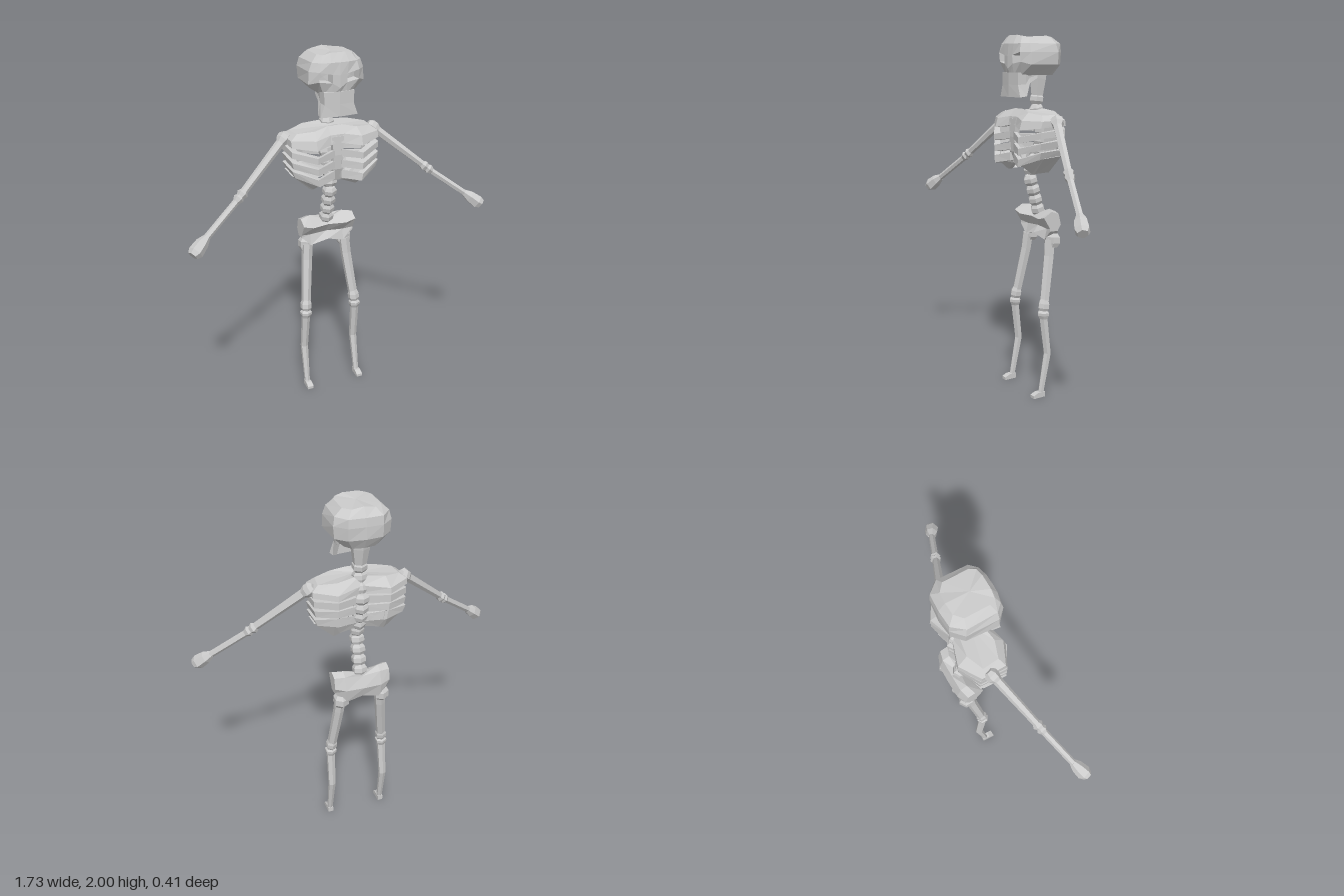
import * as THREE from 'three';

const material = new THREE.MeshStandardMaterial({ color: 0xcccccc, flatShading: true, side: THREE.DoubleSide });

// Skins a row of equal-length closed rings; faces are turned outward by signed volume.
function loft(name, rings, { capStart = true, capEnd = true, skip = () => false } = {}) {
  const tris = [], n = rings[0].length;
  for (let i = 0; i < rings.length - 1; i++) {
    for (let j = 0; j < n; j++) {
      if (skip(i, j)) continue;
      const k = (j + 1) % n, a = rings[i][j], b = rings[i][k], c = rings[i + 1][k], d = rings[i + 1][j];
      tris.push([a, b, c], [a, c, d]);
    }
  }
  const cap = (ring, flip) => {
    const mid = [0, 1, 2].map(k => ring.reduce((s, p) => s + p[k], 0) / n);
    ring.forEach((p, j) => {
      const q = ring[(j + 1) % n];
      tris.push(flip ? [mid, q, p] : [mid, p, q]);
    });
  };
  if (capStart) cap(rings[0], true);
  if (capEnd) cap(rings[rings.length - 1], false);
  const v = p => new THREE.Vector3(p[0], p[1] - 1, p[2]);
  const volume = tris.reduce((s, [a, b, c]) => s + v(a).dot(v(b).cross(v(c))), 0);
  if (volume < 0) tris.forEach(t => t.reverse());
  const geo = new THREE.BufferGeometry();
  geo.setAttribute('position', new THREE.Float32BufferAttribute(tris.flat(2), 3));
  geo.computeVertexNormals();
  const mesh = new THREE.Mesh(geo, material);
  mesh.name = name;
  return mesh;
}

// Completes a left half outline (front centre to back centre) across x = 0.
const mirrorRing = half => [...half, ...half.slice(1, -1).reverse().map(([x, y, z]) => [-x, y, z])];
const mirrorSections = list => [...list.map(r => r.map(([x, y, z]) => [-x, y, z])), ...list.slice(0, -1).reverse()];

// Faceted bone through points [x, y, z, radius].
function bone(name, side, points, sides = 6) {
  const at = p => new THREE.Vector3(p[0] * side, p[1], p[2]);
  const dir = at(points[points.length - 1]).sub(at(points[0])).normalize();
  const u = new THREE.Vector3(0, 0, 1).cross(dir).normalize(), w = dir.clone().cross(u);
  return loft(name, points.map(p => Array.from({ length: sides }, (_, j) => {
    const t = (j + 0.5) / sides * Math.PI * 2;
    return at(p).addScaledVector(u, Math.cos(t) * p[3]).addScaledVector(w, Math.sin(t) * p[3]).toArray();
  })));
}

function skull() {
  const g = new THREE.Group();
  g.name = 'skull';
  const level = (y, pts) => mirrorRing(pts.map(([x, z, dy = 0]) => [x, y + dy, z]));
  const rings = [
    level(1.79, [[0, .07], [.04, .07], [.08, .05], [.09, 0], [.09, -.12], [.06, -.16], [0, -.17]]),
    level(1.845, [[0, .085, -.02], [.04, .08, .005], [.11, .07, .015], [.155, .03], [.145, -.14], [.09, -.19], [0, -.2]]),
    level(1.91, [[0, .085, -.02], [.04, .08, -.015], [.11, .075], [.152, .03], [.15, -.14], [.09, -.195], [0, -.2]]),
    level(1.955, [[0, .08], [.05, .078], [.1, .065], [.135, .03], [.14, -.13], [.09, -.19], [0, -.195]]),
    level(1.99, [[0, .05, .01], [.04, .05, .01], [.08, .045], [.1, .01], [.1, -.12], [.06, -.155], [0, -.16, .01]]),
  ];
  const n = rings[0].length;
  g.add(loft('cranium', rings, { skip: (i, j) => i === 1 && (j === 1 || j === n - 2) }));
  // Recessed eye sockets fill the two openings
  for (const j of [1, n - 2]) {
    const rim = [rings[1][j], rings[1][j + 1], rings[2][j + 1], rings[2][j]];
    const cx = (rim[0][0] + rim[1][0]) / 2;
    const floor = rim.map(([x, y, z]) => [cx + (x - cx) * .8, 1.877 + (y - 1.877) * .8, z - .045]);
    g.add(loft('eyeSocket', [rim, floor], { capStart: false }));
  }
  // U-shaped jaw: x, z, bottom y, lower x, wall depth
  const jaw = [[.085, -.05, 1.775, .085], [.088, .0, 1.75, .09], [.09, .025, 1.68, .1], [.085, .07, 1.675, .105], [0, .08, 1.675, 0]];
  g.add(loft('jaw', mirrorSections(jaw.map(([x, z, y, lx]) => {
    const ix = x * .75, iz = z > .05 ? z - .03 : z;
    return [[x, 1.805, z], [x * .97, (1.805 + y) / 2, z], [lx, y, z], [lx * .8, y, iz], [ix, 1.805, iz]];
  }))));
  return g;
}

function spine() {
  const g = new THREE.Group();
  g.name = 'spine';
  g.add(bone('upperNeck', 1, [[0, 1.82, -.105, .055], [0, 1.77, -.105, .05], [0, 1.68, -.1, .036]]));
  const curve = new THREE.CatmullRomCurve3([[1.69, -.1], [1.61, -.095], [1.5, -.13], [1.36, -.1], [1.26, -.055], [1.15, -.08], [1.02, -.115]]
    .map(([y, z]) => new THREE.Vector3(0, y, z)));
  const count = 12;
  for (let i = 0; i < count; i++) {
    const pts = [0, .3, .7, 1].map((t, k) => {
      const p = curve.getPointAt((i + t) / count);
      return [0, p.y, p.z, k % 3 ? .041 : .029];
    });
    g.add(bone('vertebra', 1, pts));
  }
  return g;
}

function ribcage() {
  const g = new THREE.Group();
  g.name = 'ribcage';
  // Shoulder plate
  g.add(loft('shoulderPlate', [
    [[0, 1.53, .055], [.04, 1.52, .06], [.13, 1.505, .09], [.25, 1.52, .03], [.255, 1.53, -.12], [.14, 1.525, -.19], [0, 1.53, -.14]],
    [[0, 1.57, .05], [.04, 1.57, .05], [.13, 1.555, .075], [.25, 1.555, .02], [.255, 1.56, -.115], [.14, 1.555, -.185], [0, 1.57, -.14]],
    [[0, 1.612, .015], [.04, 1.612, .015], [.12, 1.595, .03], [.21, 1.585, 0], [.22, 1.585, -.09], [.13, 1.6, -.13], [0, 1.615, -.11]],
  ].map(mirrorRing)));
  // Rib heights as [top, bottom] at: spine, back corner, rear side, front side, front corner, sternum
  const path = [[.015, -.14], [.14, -.185], [.25, -.12], [.25, .03], [.13, .098], [.02, .06]];
  const ribs = [
    [[1.51, 1.47], [1.515, 1.475], [1.51, 1.475], [1.497, 1.465], [1.468, 1.435], [1.49, 1.45]],
    [[1.45, 1.41], [1.46, 1.42], [1.455, 1.42], [1.44, 1.405], [1.408, 1.373], [1.43, 1.39]],
    [[1.39, 1.35], [1.41, 1.36], [1.405, 1.37], [1.393, 1.355], [1.35, 1.31], [1.375, 1.33]],
  ];
  ribs.forEach((heights, r) => {
    const k = 1 - r * .03;
    for (const s of [1, -1]) g.add(loft('rib', path.map(([x, z], i) => {
      const [top, bottom] = heights[i], inX = x * .86, inZ = -.04 + (z + .04) * .78;
      const zz = i < 2 ? -.04 + (z + .04) * (1 - r * .1) : z;
      return [[x * s, top, zz], [x * s * k, bottom, zz], [inX * s * k, bottom, inZ], [inX * s, top, inZ]];
    })));
  });
  // Lowest ribs slope inward to a point under each side
  for (const s of [1, -1]) g.add(loft('lowestRib', [
    [[.015, 1.36, -.12], [.015, 1.31, -.1], [.015, 1.31, -.07], [.015, 1.36, -.08]],
    [[.15, 1.385, -.15], [.11, 1.29, -.1], [.1, 1.29, -.08], [.13, 1.385, -.12]],
    [[.245, 1.37, -.1], [.14, 1.272, -.09], [.12, 1.275, -.075], [.215, 1.37, -.08]],
    [[.245, 1.36, .01], [.14, 1.268, 0], [.12, 1.272, -.015], [.215, 1.36, -.01]],
    [[.13, 1.32, .07], [.125, 1.268, .01], [.11, 1.272, -.01], [.12, 1.32, .04]],
    [[.02, 1.365, .055], [.02, 1.315, .035], [.02, 1.315, .015], [.02, 1.365, .03]],
  ].map(ring => ring.map(([x, y, z]) => [x * s, y, z]))));
  g.add(loft('sternum', [[.02, 1.31, .03], [.032, 1.38, .055], [.026, 1.46, .06], [.035, 1.56, .055]]
    .map(([w, y, z]) => [[-w, y, z], [w, y, z], [w, y, z - .03], [-w, y, z - .03]])));
  return g;
}

// Pelvis: z-y profiles from the side to the centre, with a hollowed front
function pelvis() {
  const sections = [
    [.157, [[-.05, 1.025], [-.1, 1.055], [-.145, 1.04], [-.16, .98], [-.14, .945], [-.09, .945], [-.09, .96]]],
    [.1, [[-.05, 1.01], [-.12, 1.062], [-.16, 1.045], [-.182, .97], [-.165, .885], [-.09, .89], [-.105, .95]]],
    [0, [[-.07, 1.01], [-.11, 1.025], [-.16, 1.035], [-.185, .97], [-.165, .91], [-.08, .915], [-.11, .955]]],
  ];
  return loft('pelvis', mirrorSections(sections.map(([x, pts]) => pts.map(([z, y]) => [x, y, z]))));
}

function arm(s) {
  const g = new THREE.Group();
  g.name = s > 0 ? 'leftArm' : 'rightArm';
  g.add(bone('upperArm', s, [[.235, 1.57, -.073, .022], [.25, 1.56, -.067, .036], [.268, 1.545, -.06, .036], [.285, 1.53, -.05, .025], [.525, 1.33, .045, .02]]));
  g.add(bone('elbow', s, [[.52, 1.333, .043, .02], [.533, 1.322, .048, .03], [.55, 1.308, .055, .02]]));
  g.add(bone('forearm', s, [[.545, 1.312, .053, .02], [.558, 1.302, .058, .029], [.575, 1.288, .064, .018], [.765, 1.148, .138, .018]]));
  g.add(bone('hand', s, [[.755, 1.155, .134, .019], [.785, 1.133, .148, .034], [.825, 1.1, .168, .04], [.845, 1.088, .178, .028]]));
  return g;
}

function leg(s) {
  const g = new THREE.Group();
  g.name = s > 0 ? 'leftLeg' : 'rightLeg';
  g.add(bone('hipJoint', s, [[.115, .925, -.135, .03], [.116, .905, -.135, .044], [.117, .87, -.135, .044], [.12, .848, -.128, .03]]));
  g.add(bone('thigh', s, [[.115, .89, -.115, .032], [.122, .8, -.105, .03], [.148, .56, -.062, .027], [.15, .54, -.058, .026]]));
  g.add(bone('knee', s, [[.149, .565, -.06, .024], [.151, .54, -.057, .033], [.153, .515, -.053, .033], [.154, .495, -.05, .022]]));
  g.add(bone('shin', s, [[.154, .505, -.05, .02], [.155, .49, -.05, .035], [.155, .475, -.05, .034], [.156, .455, -.051, .025], [.159, .25, -.075, .022], [.161, .015, -.03, .016]]));
  g.add(loft('foot', [[-.05, .03, .015], [-.005, .03, .017], [.025, .016, .018]].map(([z, h, w]) =>
    [[-w, 0], [w, 0], [w, h], [-w, h]].map(([x, y]) => [.161 * s + x, y, z]))));
  return g;
}

export function createModel() {
  const model = new THREE.Group();
  model.name = 'skeleton';
  model.add(skull(), spine(), ribcage(), pelvis());
  for (const s of [1, -1]) model.add(arm(s), leg(s));
  return model;
}
